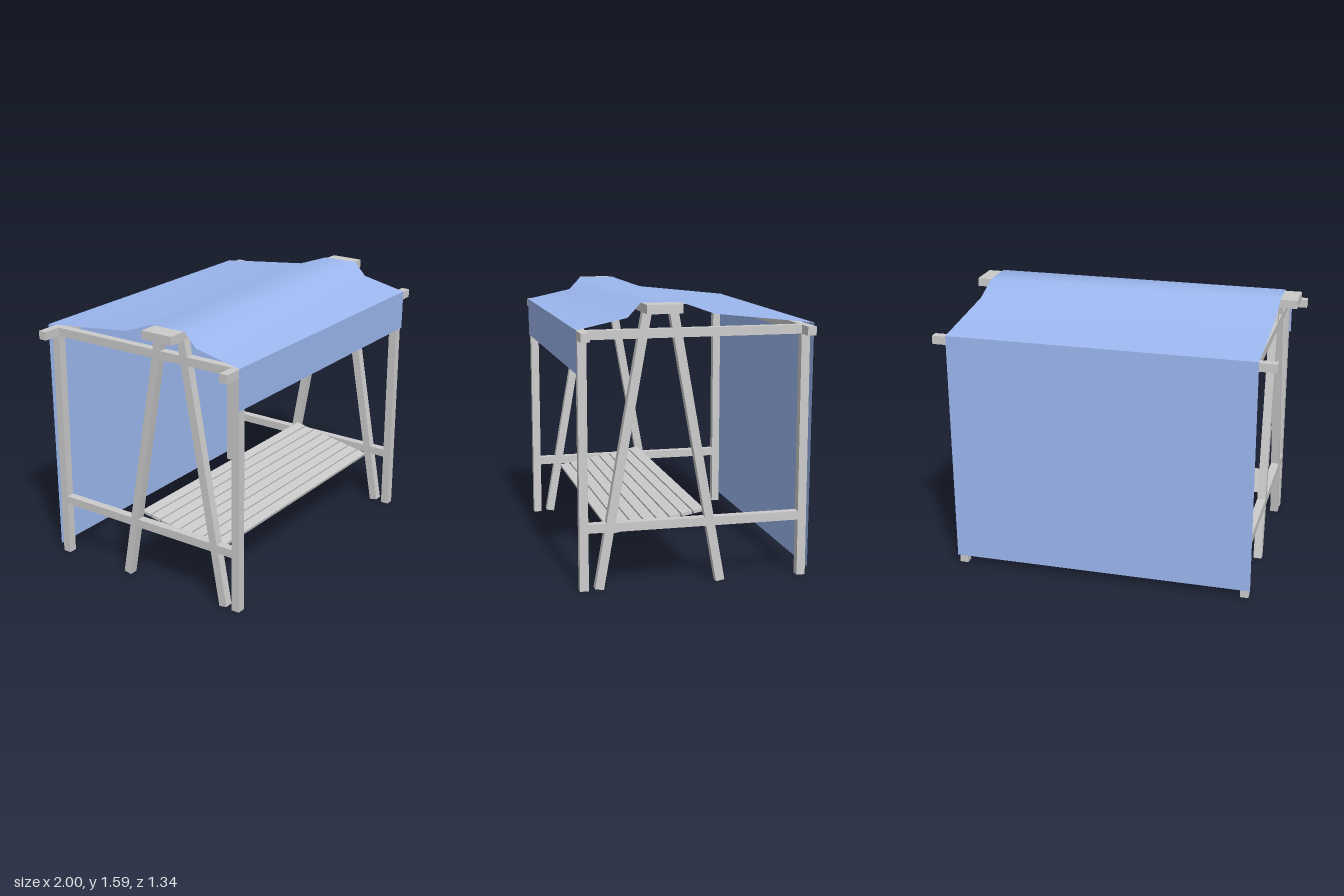
import * as THREE from 'three';

const wood = new THREE.MeshStandardMaterial({ color: 0xcccccc });
const cloth = new THREE.MeshStandardMaterial({ color: 0x9db8f0, side: THREE.DoubleSide });

const T = 0.05; // timber thickness
const CX = 0.005; // middle of the frame in x

function bar(name, w, h, d, x, y, z, tilt = 0) {
  const mesh = new THREE.Mesh(new THREE.BoxGeometry(w, h, d), wood);
  mesh.name = name;
  mesh.position.set(x, y, z);
  mesh.rotation.x = tilt;
  return mesh;
}

// Square timber between two (z, y) points in a side plane
function leg(name, x, [z0, y0], [z1, y1]) {
  const length = Math.hypot(z1 - z0, y1 - y0);
  return bar(name, T, length, T, x, (y0 + y1) / 2, (z0 + z1) / 2, Math.atan2(z1 - z0, y1 - y0));
}

// Cloth stretched in x along a (z, y) profile, smooth across its folds
function sheet(name, profile) {
  const geo = new THREE.PlaneGeometry(1, 1, 1, profile.length - 1);
  const pos = geo.attributes.position;
  profile.forEach(([z, y], i) => {
    pos.setXYZ(i * 2, CX - 0.905, y, z);
    pos.setXYZ(i * 2 + 1, CX + 0.905, y, z);
  });
  geo.computeVertexNormals();
  const mesh = new THREE.Mesh(geo, cloth);
  mesh.name = name;
  return mesh;
}

export function createModel() {
  const model = new THREE.Group();
  model.name = 'marketStall';
  const front = 0.64, back = -0.627;
  const middle = (front + back) / 2, depth = front - back;

  // Side frames: posts, rails and splayed legs
  for (const side of [1, -1]) {
    const frame = new THREE.Group();
    frame.name = side > 0 ? 'leftFrame' : 'rightFrame';
    const x = CX + side * 0.87;
    frame.add(
      bar('frontPost', T, 1.4, T, x, 0.7, front),
      bar('backPost', T, 1.4, T, x, 0.7, back),
      bar('topRail', T, T, depth - T, x, 1.425, middle),
      bar('lowerRail', T, T, depth - T, x, 0.355, middle),
      leg('frontLeg', x, [0.555, 0.004], [0.28, 1.542]),
      leg('backLeg', x, [-0.143, 0.004], [0.13, 1.542])
    );
    model.add(frame);
  }

  // Long beams
  model.add(
    bar('frontBeam', 2, T, T, 0, 1.425, front),
    bar('backBeam', 2, T, T, 0, 1.425, back),
    bar('ridgeBoard', 2, T, 0.2, 0, 1.565, 0.205)
  );

  // Slatted shelf, raised towards the back
  const shelf = new THREE.Group();
  shelf.name = 'shelf';
  shelf.position.set(CX, 0.363, 0.211);
  shelf.rotation.x = 0.182;
  const slats = 8, pitch = 0.0692;
  for (let i = 0; i < slats; i++) {
    shelf.add(bar('slat', 1.69, 0.018, 0.061, 0, 0, (i - (slats - 1) / 2) * pitch));
  }
  model.add(shelf);

  // Awning
  model.add(
    sheet('roofCloth', [[-0.671, 1.461], [-0.093, 1.525], [0.1, 1.594], [0.318, 1.594], [0.392, 1.515], [0.672, 1.456]]),
    sheet('frontValance', [[0.672, 1.456], [0.67, 1.217]]),
    sheet('backCloth', [[-0.671, 1.461], [-0.661, 0.05]])
  );
  return model;
}
